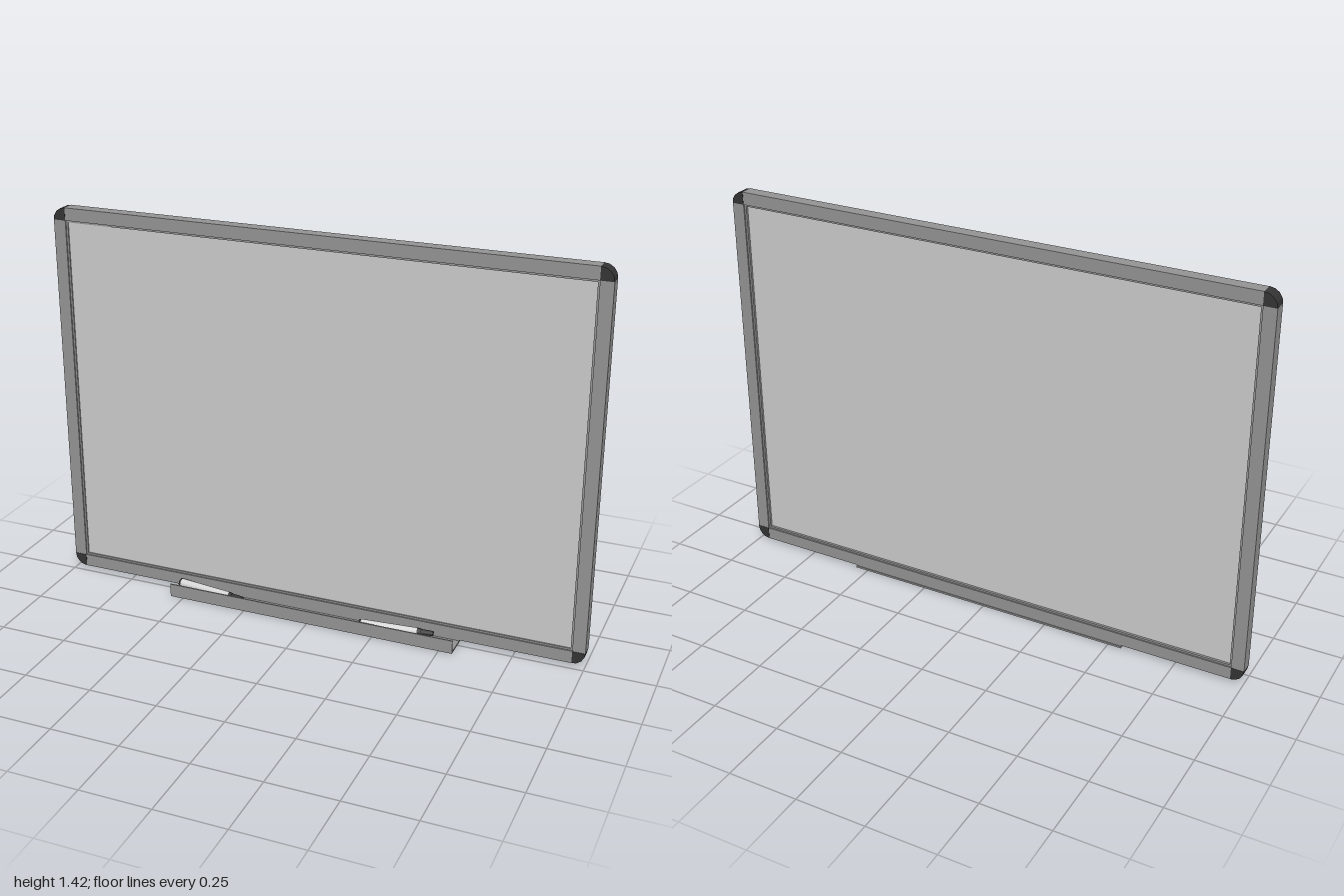
import * as THREE from 'three';

const material = (name, color) => {
  const m = new THREE.MeshStandardMaterial({ color });
  m.name = name;
  return m;
};

export function createModel() {
  const model = new THREE.Group();
  model.name = 'whiteboard';
  const white = material('boardSurface', 0xcbcbcb);
  const metal = material('aluminium', 0x949494);
  const black = material('blackPlastic', 0x343434);
  const barrel = material('markerBarrel', 0xd6d6d6);

  const add = (parent, name, geometry, mat, x = 0, y = 0, z = 0) => {
    const mesh = new THREE.Mesh(geometry, mat);
    mesh.name = name;
    mesh.position.set(x, y, z);
    parent.add(mesh);
    return mesh;
  };
  const box = (parent, name, mat, w, h, d, x, y, z) =>
    add(parent, name, new THREE.BoxGeometry(w, h, d), mat, x, y, z);

  // Board outline
  const bottom = 0.012, top = 1.425, mid = (bottom + top) / 2;
  const halfH = (top - bottom) / 2, bar = 0.046;
  const back = -0.063, front = -0.016;
  const depth = front - back, midZ = (front + back) / 2;

  // Writing panel, recessed in the frame on both sides
  box(model, 'panel', white, 2 - bar * 2 + 0.01, halfH * 2 - bar * 2 + 0.01, 0.024, 0, mid, midZ + 0.002);

  // Frame bars, each with a thin stepped lip on its inner edge
  const frame = new THREE.Group();
  frame.name = 'frame';
  model.add(frame);
  const lip = 0.007;
  for (const s of [-1, 1]) {
    box(frame, 'horizontalBar', metal, 2 - bar * 2, bar, depth, 0, mid + s * (halfH - bar / 2), midZ);
    box(frame, 'verticalBar', metal, bar, halfH * 2 - bar * 2, depth, s * (1 - bar / 2), mid, midZ);
    box(frame, 'horizontalLip', metal, 2 - bar * 2, lip, depth - 0.01, 0, mid + s * (halfH - bar - lip / 2), midZ);
    box(frame, 'verticalLip', metal, lip, halfH * 2 - bar * 2, depth - 0.01, s * (1 - bar - lip / 2), mid, midZ);
  }

  // Faceted quarter-round corner caps
  const cap = new THREE.Shape();
  cap.moveTo(0, 0);
  for (let i = 0; i <= 4; i++) {
    const a = (i / 4) * Math.PI / 2;
    cap.lineTo(Math.cos(a) * bar, Math.sin(a) * bar);
  }
  cap.closePath();
  const capGeometry = new THREE.ExtrudeGeometry(cap, { depth: depth + 0.002, bevelEnabled: false });
  const corners = [[1, 1], [-1, 1], [-1, -1], [1, -1]];
  corners.forEach(([sx, sy], i) => {
    const c = add(frame, 'cornerCap', capGeometry, black,
      sx * (1 - bar), mid + sy * (halfH - bar), back - 0.001);
    c.rotation.z = i * Math.PI / 2;
  });

  // Pen tray: shelf running under the frame with an upright front lip
  const tray = new THREE.Group();
  tray.name = 'tray';
  model.add(tray);
  box(tray, 'trayShelf', metal, 1.1, 0.007, 0.126, 0, 0.0035, 0);
  box(tray, 'trayLip', metal, 1.1, 0.043, 0.005, 0, 0.0285, 0.0605);
  box(tray, 'trayBracket', metal, 1.1, 0.006, 0.04, 0, 0.0095, -0.04);

  // Markers along +x: end plug, tapered barrel, stepped nib
  const addMarker = (name, x0, z0, x1, z1) => {
    const pen = new THREE.Group();
    pen.name = name;
    const length = Math.hypot(x1 - x0, z1 - z0);
    const section = (part, mat, r0, r1, a, b) => {
      const g = new THREE.CylinderGeometry(r1, r0, b - a, 12);
      g.rotateZ(-Math.PI / 2);
      add(pen, part, g, mat, (a + b) / 2);
    };
    section('endPlug', black, 0.015, 0.0165, 0, 0.008);
    section('barrel', barrel, 0.0165, 0.0135, 0.008, length - 0.058);
    section('collar', black, 0.0135, 0.012, length - 0.058, length - 0.045);
    section('nibCap', black, 0.0105, 0.009, length - 0.045, length);
    pen.position.set(x0, 0.031, z0);
    pen.rotation.y = -Math.atan2(z1 - z0, x1 - x0);
    model.add(pen);
  };
  addMarker('rightMarker', -0.537, 0.004, -0.267, 0.034);
  addMarker('leftMarker', 0.193, 0.036, 0.462, 0.006);

  return model;
}
